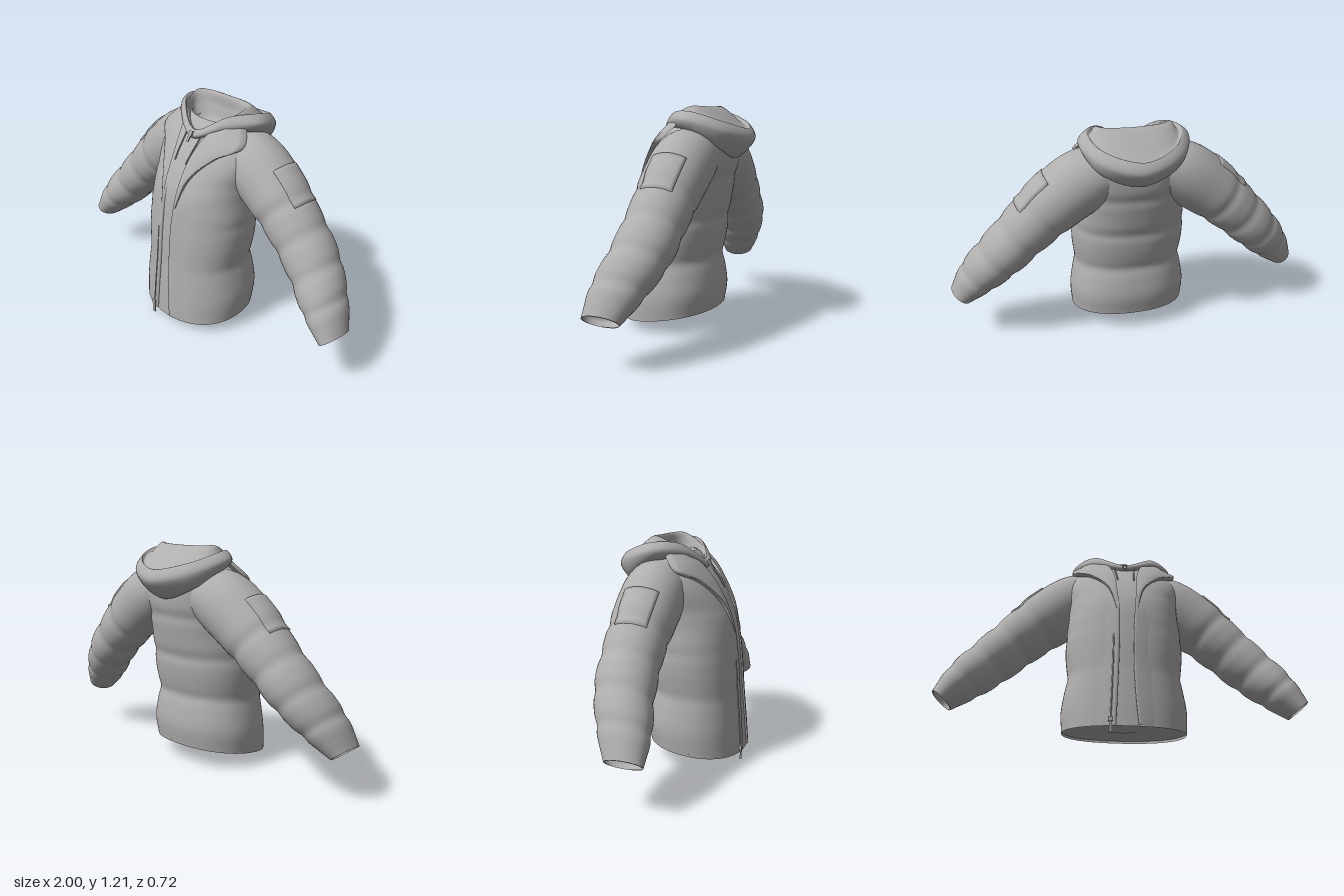
import * as THREE from 'three';
import { mergeVertices } from 'three/addons/utils/BufferGeometryUtils.js';

const V = (x, y, z) => new THREE.Vector3(x, y, z);
const fabric = new THREE.MeshStandardMaterial({ color: 0xb0adad, side: THREE.DoubleSide });
fabric.name = 'grey fabric';

// Smooth surface from a rule fn(u, v) -> point
function surface(nu, nv, fn) {
  const pos = [], idx = [];
  for (let j = 0; j <= nv; j++)
    for (let i = 0; i <= nu; i++) pos.push(...fn(i / nu, j / nv).toArray());
  for (let j = 0; j < nv; j++)
    for (let i = 0; i < nu; i++) {
      const a = j * (nu + 1) + i, d = a + nu + 1;
      idx.push(a, a + 1, d, a + 1, d + 1, d);
    }
  let g = new THREE.BufferGeometry();
  g.setAttribute('position', new THREE.Float32BufferAttribute(pos, 3));
  g.setIndex(idx);
  g = mergeVertices(g, 1e-5);
  g.computeVertexNormals();
  return g;
}

const spline = (pts, closed = false) => new THREE.CatmullRomCurve3(pts, closed, 'catmullrom', 0.5);

// Torso profile: height, half width, front z, back z
const ROWS = [
  [0.072, 0.322, 0.347, -0.172], [0.2, 0.328, 0.338, -0.187], [0.37, 0.304, 0.324, -0.168],
  [0.5, 0.313, 0.315, -0.185], [0.62, 0.314, 0.303, -0.2], [0.75, 0.302, 0.282, -0.222],
  [0.85, 0.31, 0.243, -0.242], [0.95, 0.325, 0.185, -0.25], [1.03, 0.3, 0.125, -0.25],
  [1.09, 0.235, 0.08, -0.23], [1.12, 0.17, 0.05, -0.18],
];
const shapeCurve = spline(ROWS.map(r => V(r[0], r[1], r[2])));
const backCurve = spline(ROWS.map(r => V(r[3], 0, 0)));
const SEAMS = [0.37, 0.61, 0.83];
const crease = (d, w) => Math.exp(-((d / w) ** 2));
const bend = (c, p) => Math.sign(c) * Math.abs(c) ** p;

function torsoPoint(u, t) {
  const a = (u - 0.5) * Math.PI * 2, s = Math.sin(a), c = Math.cos(a);
  const p = shapeCurve.getPoint(t), zb = backCurve.getPoint(t).x;
  const mid = (p.z + zb) / 2, half = (p.z - zb) / 2;
  const pinch = SEAMS.reduce((m, y) => m + crease(p.x - y, 0.035), 0) * 0.009 * (0.55 - 0.45 * c);
  const tilt = -0.037 * bend(c, 0.9) * Math.max(0, 1 - t * 2.5);
  return V((p.y - pinch) * bend(s, 0.9), p.x + tilt, mid + (half - pinch) * bend(c, 0.9));
}

// Front surface depth at x, y
function frontZ(x, y) {
  let lo = 0, hi = 1;
  for (let i = 0; i < 24; i++) {
    const m = (lo + hi) / 2;
    if (shapeCurve.getPoint(m).x < y) lo = m; else hi = m;
  }
  const p = shapeCurve.getPoint(lo), zb = backCurve.getPoint(lo).x;
  const k = Math.min(1, Math.abs(x) / p.y) ** (1 / 0.9);
  return (p.z + zb) / 2 + ((p.z - zb) / 2) * Math.sqrt(1 - k * k) ** 0.9;
}

// Sleeve centre line and radii (across, depth), starting inside the shoulder
const armPath = spline([V(0.1, 0.97, -0.08), V(0.26, 0.915, -0.075), V(0.42, 0.805, -0.072),
  V(0.57, 0.672, -0.068), V(0.72, 0.52, -0.05), V(0.85, 0.375, 0.0), V(0.95, 0.25, 0.04)]);
const armRadii = spline([V(0.125, 0.14, 0), V(0.168, 0.165, 0), V(0.165, 0.162, 0),
  V(0.148, 0.153, 0), V(0.133, 0.151, 0), V(0.11, 0.136, 0), V(0.064, 0.095, 0)]);

function sleevePoint(s, t, a, off = 0) {
  const c = armPath.getPoint(t), r = armRadii.getPoint(t), d = armPath.getTangent(t);
  const n = V(-d.y, d.x, 0).normalize();
  const f = (t * 7.2) % 1, edge = Math.min(f, 1 - f);
  const puff = off - 0.008 * crease(edge, 0.2) * (t > 0.35 && t < 0.93 ? 1 : 0);
  c.addScaledVector(n, (r.x + puff) * Math.cos(a));
  c.z += (r.y + puff) * Math.sin(a);
  c.x *= s;
  return c;
}

// Hood cross-sections from outer underside, over the roll, to the neck floor
const HOOD = [
  [[0, 1.03, 0.125], [0.14, 1.07, 0.04], [0.2, 1.07, -0.08], [0.15, 1.0, -0.2], [0, 0.95, -0.23]],
  [[0, 1.045, 0.137], [0.16, 1.095, 0.06], [0.265, 1.09, -0.08], [0.2, 1.0, -0.235], [0, 0.93, -0.27]],
  [[0, 1.062, 0.132], [0.175, 1.13, 0.055], [0.29, 1.135, -0.09], [0.21, 1.07, -0.275], [0, 1.02, -0.357]],
  [[0, 1.075, 0.115], [0.165, 1.165, 0.035], [0.25, 1.175, -0.1], [0.185, 1.125, -0.255], [0, 1.085, -0.335]],
  [[0, 1.07, 0.106], [0.155, 1.15, 0.032], [0.228, 1.165, -0.1], [0.17, 1.115, -0.235], [0, 1.075, -0.308]],
  [[0, 1.07, 0.1], [0.147, 1.145, 0.028], [0.195, 1.2, -0.07], [0.14, 1.203, -0.125], [0, 1.2, -0.14]],
  [[0, 1.05, 0.085], [0.12, 1.09, 0.025], [0.165, 1.12, -0.04], [0.12, 1.13, -0.1], [0, 1.125, -0.12]],
  [[0, 1.035, 0.06], [0.08, 1.05, 0.02], [0.12, 1.055, -0.03], [0.08, 1.06, -0.08], [0, 1.06, -0.1]],
  [[0, 1.045, -0.02], [0.005, 1.045, -0.02], [0.007, 1.045, -0.025], [0.005, 1.045, -0.03], [0, 1.045, -0.03]],
];
const hoodRings = HOOD.map(h => {
  const half = h.map(p => V(...p));
  const other = h.slice(1, 4).reverse().map(p => V(-p[0], p[1], p[2]));
  return spline([...half, ...other], true);
});

export function createModel() {
  const jacket = new THREE.Group();
  jacket.name = 'jacket';
  const add = (name, geo, parent = jacket) => {
    const m = new THREE.Mesh(geo, fabric);
    m.name = name;
    parent.add(m);
    return m;
  };
  const tube = (name, pts, r) => add(name, new THREE.TubeGeometry(spline(pts), 24, r, 6));

  // Body with a closed hem
  add('body', surface(72, 90, torsoPoint));
  add('hemLining', surface(48, 4, (u, v) => {
    const p = torsoPoint(1 - u, 0.012);
    return p.lerp(V(0, p.y * 0.2 + 0.068, 0.09), v);
  }));

  // Hood lying open on the back
  const columns = [];
  for (let i = 0; i <= 64; i++) columns.push(spline(hoodRings.map(r => r.getPoint(i / 64))));
  add('hood', surface(64, 64, (u, v) => columns[Math.round(u * 64)].getPoint(v)));

  for (const s of [1, -1]) {
    const side = s > 0 ? 'left' : 'right';

    // Quilted sleeve, cuff lining and raised pocket
    add(side + 'Sleeve', surface(40, 110, (u, v) => sleevePoint(s, v, s * u * Math.PI * 2)));
    const inner = armPath.getPoint(0.95);
    inner.x *= s;
    add(side + 'CuffLining', surface(32, 4, (u, v) => {
      const p = sleevePoint(s, 1 - 0.05 * Math.min(1, v * 2), s * u * Math.PI * 2, -0.006);
      return v > 0.5 ? p.lerp(inner, (v - 0.5) * 2) : p;
    }));
    add(side + 'SleevePocket', surface(12, 12, (u, v) => {
      const rim = u === 0 || u === 1 || v === 0 || v === 1;
      const uu = Math.min(1, Math.max(0, (u * 12 - 1) / 10));
      const vv = Math.min(1, Math.max(0, (v * 12 - 1) / 10));
      return sleevePoint(s, 0.285 + vv * 0.165, s * (-0.62 + uu * 1.1), rim ? -0.012 : 0.007);
    }));

    // Folded collar lapel with a turned-under outer edge
    const inEdge = spline([V(0.04, 0.7, 0.3), V(0.05, 0.82, 0.268), V(0.06, 0.95, 0.205),
      V(0.09, 1.06, 0.125), V(0.13, 1.11, 0.06)]);
    const outEdge = spline([V(0.055, 0.7, 0.3), V(0.1, 0.86, 0.248), V(0.195, 0.975, 0.157),
      V(0.29, 1.035, 0.075), V(0.24, 1.12, 0.0)]);
    add(side + 'Lapel', surface(12, 24, (u, v) => {
      const k = s > 0 ? u : 1 - u, w = Math.min(1, k * 12 / 11);
      const p = inEdge.getPoint(v).lerp(outEdge.getPoint(v), w);
      p.z += 0.02 * Math.sin(Math.PI * w) * v - (k === 1 ? 0.035 : 0);
      p.x *= s;
      return p;
    }));

    // Front flap beside the zip, fading out under the lapel
    add(side + 'FrontFlap', surface(8, 40, (u, v) => {
      const k = s > 0 ? u : 1 - u, y = 0.04 + v * 0.84;
      const edge = s > 0 ? 0.05 - 0.1 * v * (1 - v) + 0.01 * v : 0.06 - 0.04 * v + 0.03 * v ** 4;
      const x = s * (edge + 0.1 * Math.max(0, (k * 8 - 1) / 7));
      const fade = Math.min(1, (1 - v) * 4);
      return V(x, y, frontZ(x, y) - 0.004 + (k === 0 ? 0 : 0.014 * (1 - k) * fade));
    }));

    // Hood drawstring
    tube(side + 'Drawstring', [1.07, 1.02, 0.97, 0.92].map(
      (y, i) => V(s * (0.058 - i * 0.005), y, frontZ(0.05, y) + 0.01)), 0.004);
  }

  // Zip line and its two pulls
  tube('zip', [0.06, 0.2, 0.35, 0.55].map((y, i) => V(-0.088 + i * 0.006, y, frontZ(-0.085, y) + 0.006)), 0.004);
  const pull = (name, x, y, z, h, lean) => {
    const g = new THREE.Group();
    g.name = name;
    add('slider', new THREE.BoxGeometry(0.024, 0.024, 0.012), g).position.y = h / 2 - 0.012;
    add('tab', new THREE.BoxGeometry(0.015, h, 0.007), g);
    g.position.set(x, y, z);
    g.rotation.x = lean;
    jacket.add(g);
  };
  pull('hemZipPull', -0.088, 0.04, 0.35, 0.08, 0);
  pull('neckZipPull', 0, 1.045, 0.146, 0.06, -0.6);
  return jacket;
}
